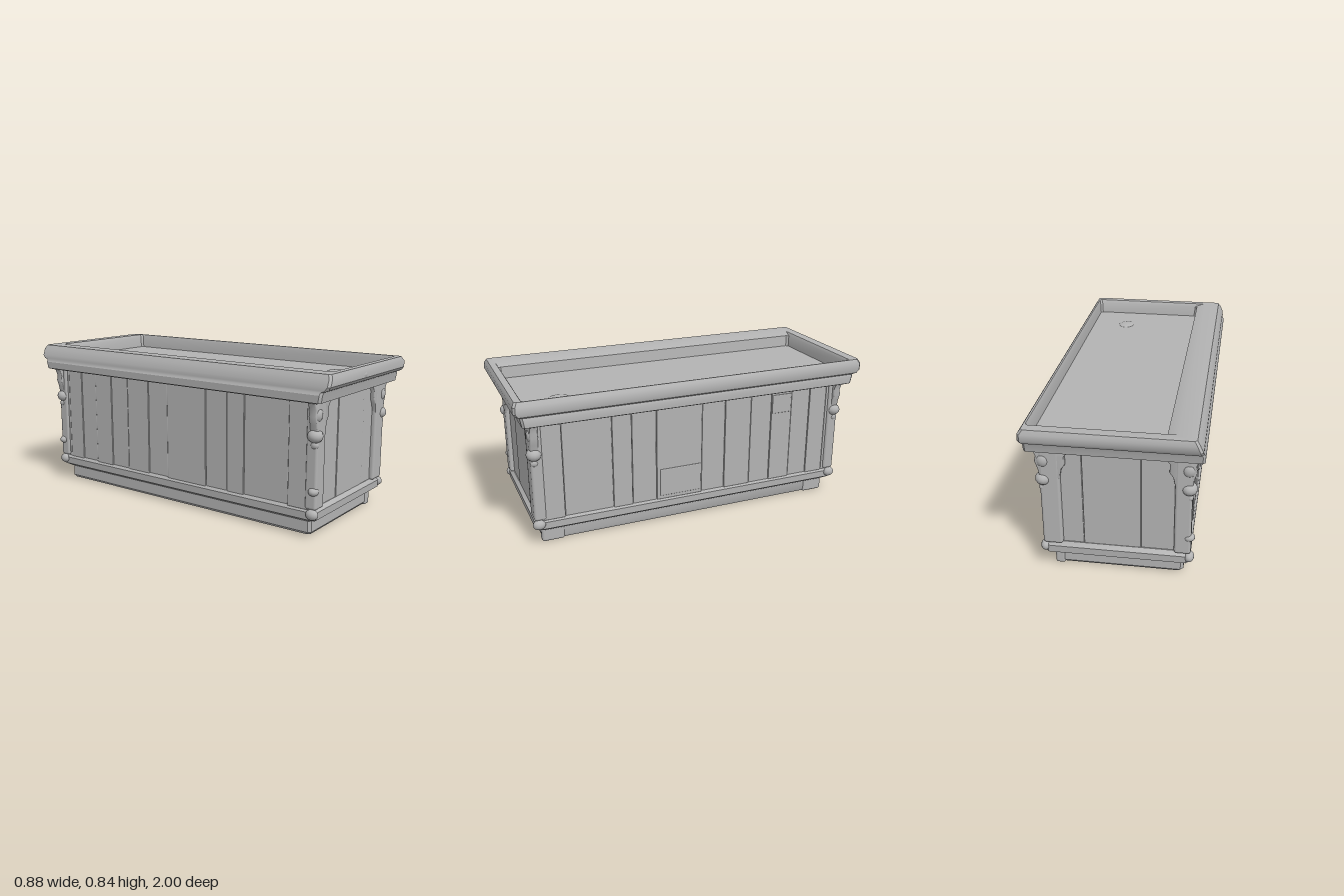
import * as THREE from 'three';
import { toCreasedNormals } from 'three/addons/utils/BufferGeometryUtils.js';
import { RoundedBoxGeometry } from 'three/addons/geometries/RoundedBoxGeometry.js';

// Skin stacked rectangular rings [y, x0, x1, z0, z1] with cut corners, capped at both ends
function loftRings(rings, cut) {
  const pos = [];
  const loops = rings.map(([y, x0, x1, z0, z1]) => [
    [x1 - cut, z1], [x1, z1 - cut], [x1, z0 + cut], [x1 - cut, z0],
    [x0 + cut, z0], [x0, z0 + cut], [x0, z1 - cut], [x0 + cut, z1],
  ].map(([x, z]) => [x, y, z]));
  const tri = (a, b, c) => pos.push(...a, ...b, ...c);
  for (let i = 0; i < loops.length - 1; i++) {
    for (let j = 0; j < 8; j++) {
      const k = (j + 1) % 8, lo = loops[i], hi = loops[i + 1];
      tri(lo[j], lo[k], hi[k]);
      tri(lo[j], hi[k], hi[j]);
    }
  }
  const first = loops[0], last = loops[loops.length - 1];
  for (let j = 1; j < 7; j++) {
    tri(first[0], first[j + 1], first[j]);
    tri(last[0], last[j], last[j + 1]);
  }
  const g = new THREE.BufferGeometry();
  g.setAttribute('position', new THREE.Float32BufferAttribute(pos, 3));
  return toCreasedNormals(g, 0.6);
}

export function createModel() {
  const root = new THREE.Group();
  const grey = new THREE.MeshStandardMaterial({ color: 0xb3b3b3 });
  grey.name = 'plain grey';

  function add(name, geometry, x = 0, y = 0, z = 0) {
    const m = new THREE.Mesh(geometry, grey);
    m.name = name;
    m.position.set(x, y, z);
    root.add(m);
    return m;
  }
  // Rounded block given by its limits
  function block(name, x0, x1, y0, y1, z0, z1, r = 0.008) {
    const g = new RoundedBoxGeometry(x1 - x0, y1 - y0, z1 - z0, 2, r);
    return add(name, g, (x0 + x1) / 2, (y0 + y1) / 2, (z0 + z1) / 2);
  }
  function knob(name, x, y, z, rx, ry, rz) {
    const m = add(name, new THREE.SphereGeometry(1, 14, 10), x, y, z);
    m.scale.set(rx, ry, rz);
  }

  // Plinth and its corner feet
  add('plinth', loftRings([
    [0.006, -0.335, 0.31, -0.85, 0.86],
    [0.02, -0.345, 0.317, -0.86, 0.87],
    [0.09, -0.345, 0.317, -0.86, 0.87],
  ], 0.015));
  for (const z of [-0.805, 0.81]) {
    block('foot', 0.27, 0.322, 0, 0.085, z - 0.06, z + 0.065, 0.014);
  }

  // Bottom moulding and body core
  add('bottomMoulding', loftRings([
    [0.08, -0.345, 0.335, -0.88, 0.885],
    [0.1, -0.378, 0.364, -0.908, 0.912],
    [0.14, -0.38, 0.366, -0.91, 0.914],
    [0.16, -0.365, 0.352, -0.89, 0.896],
  ], 0.02));
  block('bodyCore', -0.362, 0.35, 0.1, 0.72, -0.88, 0.888);

  // Upright planks on the long sides, at slightly uneven depths
  const seams = [-0.88, -0.83, -0.72, -0.6, -0.47, -0.34, -0.18, -0.04, 0.23, 0.37, 0.48, 0.75, 0.88];
  const depths = [0.007, 0.009, 0.006, 0.01, 0.007, 0.009, 0.006, 0.01, 0.007, 0.009, 0.006, 0.012];
  depths.forEach((d, i) => {
    const z0 = seams[i] + 0.001, z1 = seams[i + 1] - 0.001;
    block('leftPlank', 0.33, 0.35 + d, 0.15, 0.71, z0, z1, 0.003);
    block('rightPlank', -0.362 - d, -0.34, 0.15, 0.71, z0, z1, 0.003);
  });
  block('plankPatch', 0.34, 0.364, 0.17, 0.33, -0.035, 0.21, 0.005);
  block('plankPatch', 0.34, 0.364, 0.56, 0.67, -0.595, -0.475, 0.005);

  // Upright planks on both ends
  const endSeams = [-0.3, -0.13, 0.16, 0.27];
  for (let i = 0; i < 3; i++) {
    const x0 = endSeams[i] + 0.001, x1 = endSeams[i + 1] - 0.001, d = 0.005 + (i % 2) * 0.003;
    block('frontPlank', x0, x1, 0.14, 0.71, 0.87, 0.888 + d, 0.003);
    block('backPlank', x0, x1, 0.14, 0.71, -0.88 - d, -0.86, 0.003);
  }

  // Corner posts with brackets, collars and knots
  for (const s of [-1, 1]) {
    for (const e of [-1, 1]) {
      const outer = s > 0 ? 0.368 : -0.382, inner = s > 0 ? 0.267 : -0.297;
      const zEnd = e > 0 ? 0.918 : -0.91;
      const span = (a, b) => [Math.min(a, b), Math.max(a, b)];
      block('cornerPost', ...span(outer, inner), 0.155, 0.71, ...span(zEnd, zEnd - e * 0.065), 0.014);

      // Slim bracket flaring under the counter, set just behind the post face
      const reach = Math.abs(outer - inner);
      const outline = new THREE.Shape([
        [0.01, 0.71], [reach + 0.055, 0.71], [reach + 0.02, 0.665], [reach + 0.022, 0.62],
        [reach + 0.004, 0.595], [reach - 0.01, 0.53], [0.01, 0.53], [0, 0.59],
        [-0.014, 0.63], [-0.008, 0.66], [-0.03, 0.71],
      ].map(([x, y]) => new THREE.Vector2(outer - s * x, y)));
      const g = new THREE.ExtrudeGeometry(outline, {
        depth: 0.03, bevelEnabled: true, bevelSize: 0.006, bevelThickness: 0.006, bevelSegments: 2,
      });
      add('postBracket', toCreasedNormals(g, 0.8), 0, 0, e > 0 ? zEnd - 0.038 : zEnd + 0.008);

      knob('postCollar', outer - s * 0.016, 0.53, zEnd - e * 0.022, 0.04, 0.034, 0.04);
      knob('postKnot', outer - s * 0.02, 0.635, zEnd - e * 0.02, 0.036, 0.04, 0.03);
      knob('postKnot', outer - s * 0.01, 0.485, zEnd - e * 0.02, 0.016, 0.02, 0.022);
      if (s < 0) knob('postKnot', outer - s * 0.01, 0.25, zEnd - e * 0.02, 0.03, 0.022, 0.027);
      knob('footKnob', outer - s * 0.008, 0.13, zEnd - e * 0.024, 0.026, 0.028, 0.034);
    }
  }

  // Counter: stepped edge, raised rim wide on one side, sunken top with steep walls
  add('counter', loftRings([
    [0.698, -0.415, 0.41, -0.93, 0.935],
    [0.706, -0.438, 0.426, -0.95, 0.955],
    [0.745, -0.44, 0.428, -0.957, 0.962],
    [0.758, -0.432, 0.423, -0.962, 0.965],
    [0.767, -0.432, 0.434, -0.985, 0.985],
    [0.785, -0.43, 0.438, -0.998, 0.998],
    [0.82, -0.415, 0.436, -1, 0.998],
    [0.843, -0.4, 0.42, -0.99, 0.986],
    [0.842, -0.31, 0.411, -0.935, 0.95],
    [0.825, -0.257, 0.405, -0.925, 0.94],
    [0.76, -0.25, 0.401, -0.92, 0.934],
  ], 0.012));

  // Worn spots on the counter
  knob('counterBump', 0.19, 0.758, 0.71, 0.048, 0.012, 0.06);
  knob('rimChip', -0.05, 0.8, 0.985, 0.035, 0.018, 0.016);
  return root;
}
